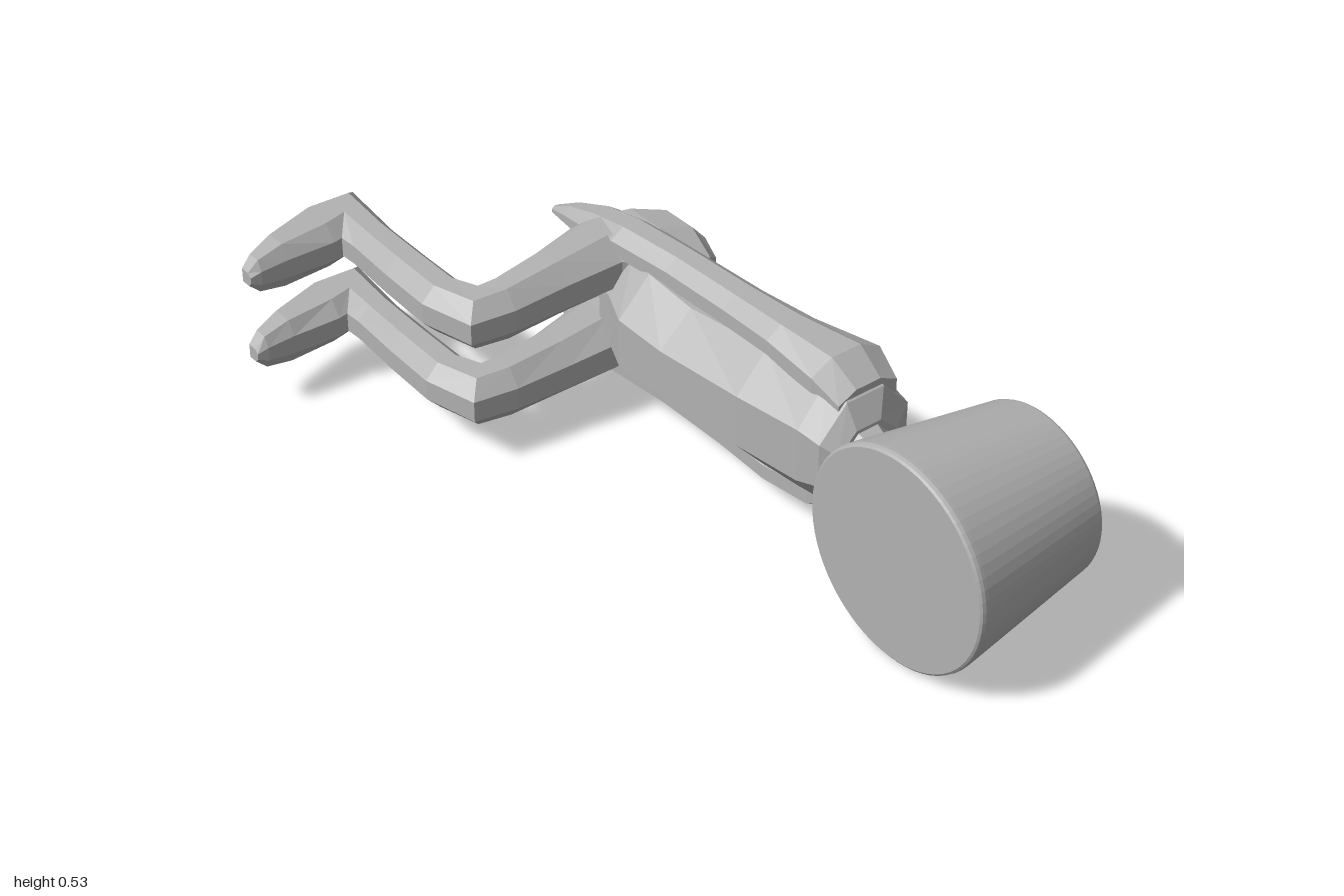
import * as THREE from 'three';

const MID = 0.268; // height of the mirror plane between the two body halves
const SIDES = 8;

// Loft of octagonal rings. Each ring: [x, z, dy, turn in degrees, half width, half height, flat edge?]
function loft(rings, side = 1) {
  const pos = [], idx = [];
  const grow = 1 / Math.cos(Math.PI / SIDES);
  for (const [x, z, dy, deg, a, b, flat] of rings) {
    const ang = THREE.MathUtils.degToRad(deg);
    for (let j = 0; j < SIDES; j++) {
      const t = (j + 0.5) / SIDES * Math.PI * 2;
      let u = Math.cos(t) * grow;
      if (flat && u < 0) u = -1;
      pos.push(x + Math.cos(ang) * a * u, MID + side * (dy + Math.sin(t) * grow * b), z + Math.sin(ang) * a * u);
    }
  }
  const tri = (a, b, c) => (side > 0 ? idx.push(a, b, c) : idx.push(a, c, b));
  for (let i = 0; i < rings.length - 1; i++) {
    for (let j = 0; j < SIDES; j++) {
      const k = (j + 1) % SIDES, p = i * SIDES, q = p + SIDES;
      tri(p + j, p + k, q + k);
      tri(p + j, q + k, q + j);
    }
  }
  // end caps
  const last = (rings.length - 1) * SIDES;
  for (let j = 1; j < SIDES - 1; j++) {
    tri(0, j + 1, j);
    tri(last, last + j, last + j + 1);
  }
  const g = new THREE.BufferGeometry();
  g.setAttribute('position', new THREE.Float32BufferAttribute(pos, 3));
  g.setIndex(idx);
  g.computeVertexNormals();
  return g;
}

export function createModel() {
  const model = new THREE.Group();
  model.name = 'bucketHeadFigure';
  const grey = new THREE.MeshStandardMaterial({ color: 0xb2b2b2, flatShading: true });
  grey.name = 'grey';

  const add = (name, geometry) => {
    const mesh = new THREE.Mesh(geometry, grey);
    mesh.name = name;
    model.add(mesh);
    return mesh;
  };

  // tapered bucket head with softened rims, lying along x
  const profile = [[0, 0], [0.258, 0], [0.263, 0.004], [0.265, 0.012], [0.264, 0.022],
    [0.208, 0.4], [0.205, 0.406], [0.199, 0.41], [0, 0.41]].map(([r, h]) => new THREE.Vector2(r, h));
  const head = add('bucketHead', new THREE.LatheGeometry(profile, 64));
  head.rotation.z = -Math.PI / 2;
  head.position.set(0.075, MID, 0.735);

  // neck
  add('neck', loft([
    [0.275, 0.56, 0, 180, 0.068, 0.072],
    [0.275, 0.5, 0, 180, 0.068, 0.072],
    [0.275, 0.46, 0, 180, 0.058, 0.06],
    [0.28, 0.4, 0, 180, 0.075, 0.08],
  ]));

  // torso, from shoulders down to hips
  add('torso', loft([
    [0.28, 0.425, 0, 180, 0.085, 0.08],
    [0.298, 0.39, 0, 180, 0.13, 0.135],
    [0.295, 0.33, 0, 180, 0.138, 0.165],
    [0.28, 0.15, 0, 180, 0.145, 0.16],
    [0.27, -0.1, 0, 180, 0.15, 0.14],
    [0.27, -0.25, 0, 180, 0.152, 0.155],
    [0.285, -0.34, 0, 180, 0.125, 0.16],
    [0.29, -0.41, 0, 180, 0.105, 0.13],
  ]));

  for (const side of [1, -1]) {
    const label = side > 0 ? 'upper' : 'lower';

    // arm hanging along the torso, ending in a pointed hand
    add(label + 'Arm', loft([
      [0.31, 0.385, 0.115, 180, 0.085, 0.04],
      [0.31, 0.31, 0.15, 180, 0.1, 0.052],
      [0.28, 0.16, 0.172, 180, 0.07, 0.044],
      [0.275, 0, 0.168, 180, 0.06, 0.045],
      [0.27, -0.2, 0.165, 180, 0.057, 0.046],
      [0.258, -0.38, 0.165, 180, 0.06, 0.043],
      [0.26, -0.5, 0.145, 180, 0.057, 0.04],
      [0.252, -0.59, 0.133, 180, 0.035, 0.025],
      [0.24, -0.648, 0.122, 180, 0.012, 0.01],
    ], side));

    // bent leg: buttock, thigh, knee, shin, heel and flat-soled foot
    add(label + 'Leg', loft([
      [0.415, -0.33, 0.085, 90, 0.07, 0.06],
      [0.385, -0.36, 0.095, 90, 0.115, 0.085],
      [0.31, -0.395, 0.108, 90, 0.13, 0.085],
      [0.2, -0.435, 0.112, 90, 0.095, 0.078],
      [0.05, -0.417, 0.112, 90, 0.075, 0.072],
      [-0.1, -0.403, 0.108, 95, 0.062, 0.068],
      [-0.165, -0.412, 0.107, 135, 0.075, 0.065],
      [-0.193, -0.5, 0.107, 180, 0.06, 0.063],
      [-0.19, -0.65, 0.107, 180, 0.058, 0.062],
      [-0.183, -0.8, 0.107, 180, 0.055, 0.06],
      [-0.173, -0.922, 0.107, 131, 0.102, 0.06],
      [-0.26, -0.9, 0.107, 95, 0.06, 0.06, true],
      [-0.39, -0.882, 0.107, 90, 0.037, 0.058, true],
      [-0.46, -0.873, 0.107, 90, 0.024, 0.043, true],
      [-0.487, -0.873, 0.107, 90, 0.018, 0.018, true],
    ], side));
  }
  return model;
}
